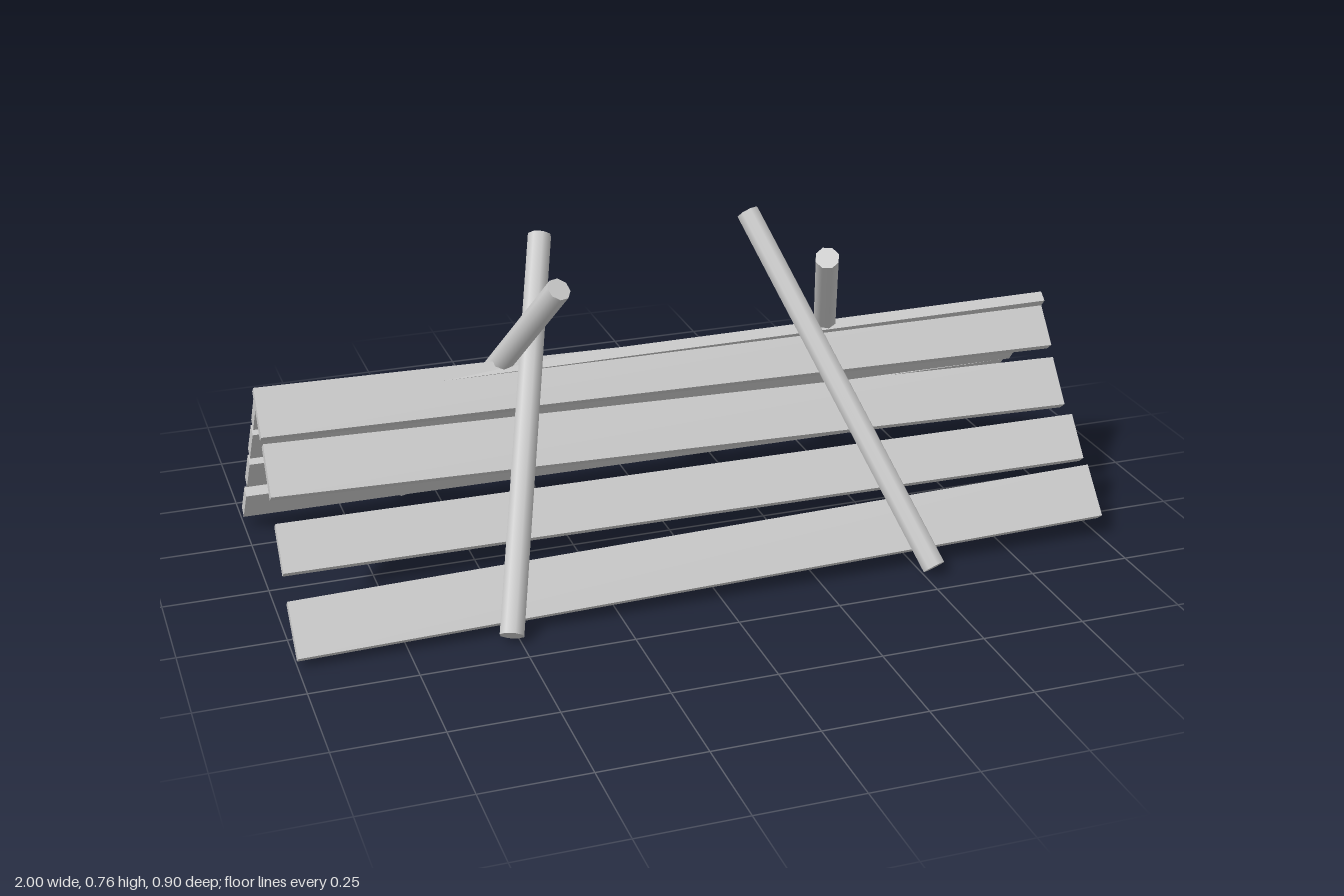
import * as THREE from 'three';

const THICKNESS = 0.027;
const POLE_RADIUS = 0.029;
const SLOPE = { y: 0.768, z: 0.64 };

// Centre of each board's outer face at its two ends: [left y, left z, right y, right z, width]
const FRONT_BOARDS = [
  [0.088, 0.347, 0.120, 0.332, 0.132],
  [0.235, 0.232, 0.222, 0.228, 0.116],
  [0.380, 0.125, 0.326, 0.112, 0.126],
  [0.486, 0.036, 0.450, 0.024, 0.120],
];
const BACK_BOARDS = [
  [0.100, -0.345, 0.090, -0.355, 0.118],
  [0.233, -0.235, 0.235, -0.256, 0.122],
  [0.353, -0.135, 0.345, -0.142, 0.122],
  [0.467, -0.040, 0.476, -0.050, 0.120],
];

// Bottom and top centres of the crossed poles
const POLES = [
  ['frontPoleRight', [-0.52, 0.03, 0.425], [-0.267, 0.757, -0.186]],
  ['frontPoleLeft', [0.525, 0.03, 0.425], [0.267, 0.757, -0.186]],
  ['backPoleRight', [-0.588, 0.03, -0.428], [-0.326, 0.757, 0.186]],
  ['backPoleLeft', [0.578, 0.03, -0.428], [0.326, 0.757, 0.186]],
];

export function createModel() {
  const model = new THREE.Group();
  model.name = 'slattedBarricade';
  const material = new THREE.MeshStandardMaterial({ color: 0xcccccc });

  // A plank lying on the sloped side; side is +1 for front, -1 for back
  function board([ly, lz, ry, rz, width], side) {
    const left = new THREE.Vector3(-1, ly, lz);
    const right = new THREE.Vector3(1, ry, rz);
    const along = right.clone().sub(left);
    const length = along.length();
    along.normalize();
    const up = new THREE.Vector3(0, SLOPE.y, -SLOPE.z * side);
    const normal = along.clone().cross(up).normalize();
    up.crossVectors(normal, along);
    const mesh = new THREE.Mesh(new THREE.BoxGeometry(length, width, THICKNESS), material);
    mesh.quaternion.setFromRotationMatrix(new THREE.Matrix4().makeBasis(along, up, normal));
    mesh.position.copy(left).add(right).multiplyScalar(0.5)
      .addScaledVector(normal, -side * THICKNESS / 2);
    return mesh;
  }

  // A round pole between two points
  function pole(from, to) {
    const a = new THREE.Vector3(...from);
    const b = new THREE.Vector3(...to);
    const dir = b.clone().sub(a);
    const mesh = new THREE.Mesh(
      new THREE.CylinderGeometry(POLE_RADIUS, POLE_RADIUS, dir.length(), 8), material);
    mesh.position.copy(a).add(b).multiplyScalar(0.5);
    mesh.quaternion.setFromUnitVectors(new THREE.Vector3(0, 1, 0), dir.normalize());
    return mesh;
  }

  // Sloping plank walls
  for (const [name, rows, side] of [['frontBoard', FRONT_BOARDS, 1], ['backBoard', BACK_BOARDS, -1]]) {
    rows.forEach((row, i) => {
      const mesh = board(row, side);
      mesh.name = name + (i + 1);
      model.add(mesh);
    });
  }

  // Crossed supporting poles
  for (const [name, from, to] of POLES) {
    const mesh = pole(from, to);
    mesh.name = name;
    model.add(mesh);
  }

  return model;
}
